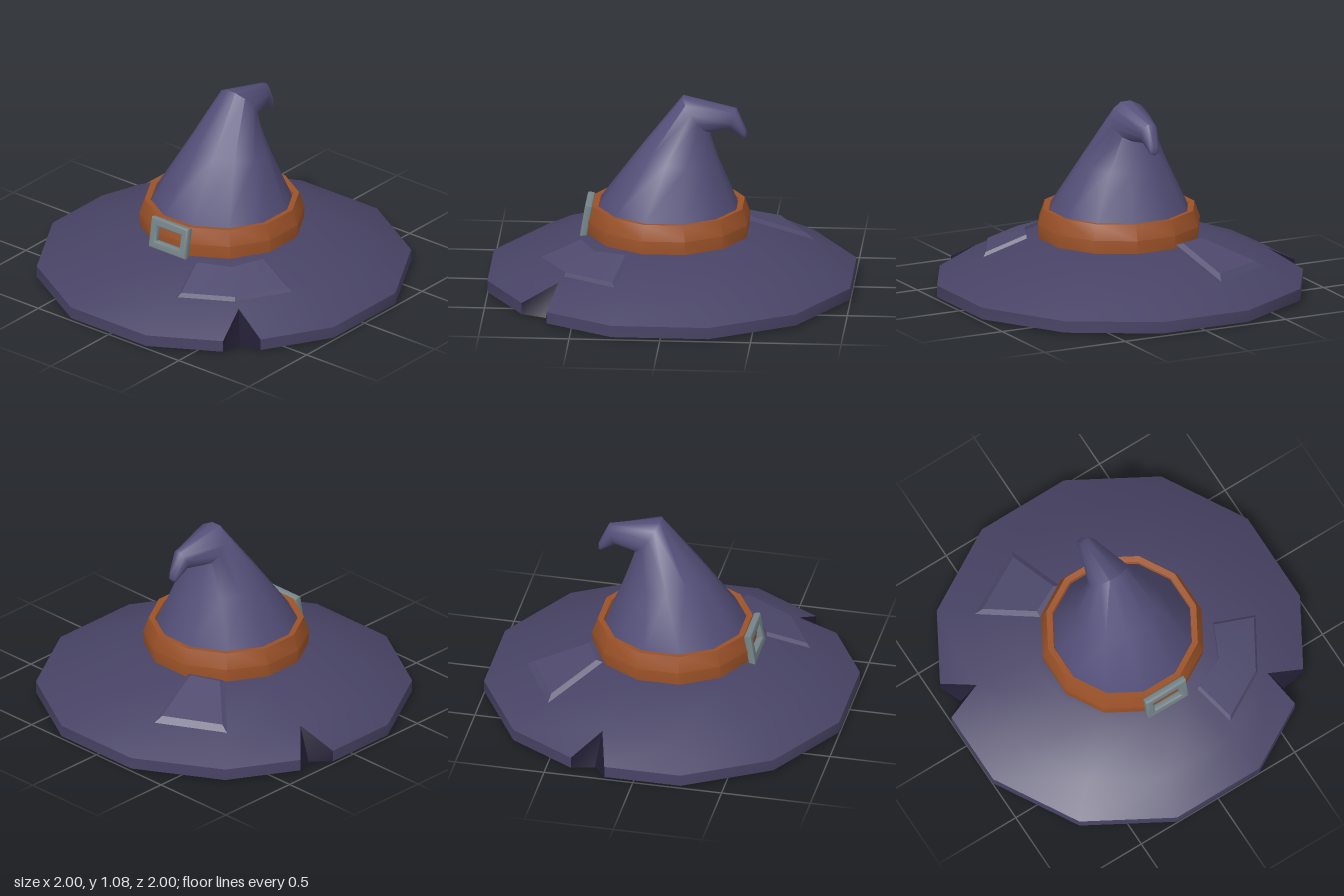
import * as THREE from 'three';
import { toCreasedNormals } from 'three/addons/utils/BufferGeometryUtils.js';

const SIDES = 12, STEP = Math.PI / 6, APO = Math.cos(STEP / 2);
const paint = color => new THREE.MeshStandardMaterial({ color });
const crownCloth = paint(0x55507a);
const brimCloth = paint(0x484365);
const patchCloth = paint(0x4e496c);
const darkCloth = paint(0x241f36);
const leather = paint(0x9c5228);
const metal = paint(0x76858a);

const angle = k => (k + 0.5) * STEP;

// Collects quads, corners counterclockwise from outside
function quadMesh(name, material, crease, fill) {
  const pos = [];
  fill((a, b, c, d) => {
    for (const p of [a, b, c, a, c, d]) pos.push(p.x, p.y, p.z);
  });
  const g = new THREE.BufferGeometry();
  g.setAttribute('position', new THREE.Float32BufferAttribute(pos, 3));
  const mesh = new THREE.Mesh(toCreasedNormals(g, crease), material);
  mesh.name = name;
  return mesh;
}

// Tilted twelve-sided ring through a front point and a back point (z, y)
function tiltedRing([fz, fy, bz, by, halfWidth]) {
  return Array.from({ length: SIDES }, (_, k) => {
    const c = Math.cos(angle(k)) / APO, s = Math.sin(angle(k)) / APO;
    return new THREE.Vector3(halfWidth * c, (fy + by) / 2 + (fy - by) / 2 * s, (fz + bz) / 2 + (fz - bz) / 2 * s);
  });
}

// Crown from the drooping tip down into the band: front z, y, back z, y, half width
function makeCrown() {
  const loops = [
    [-0.405, 0.855, -0.405, 0.855, 0],
    [-0.414, 0.87, -0.39, 0.857, 0.024],
    [-0.41, 0.9, -0.365, 0.875, 0.032],
    [-0.355, 1.02, -0.315, 0.905, 0.05],
    [-0.06, 1.083, -0.2, 0.89, 0.115],
    [0.17, 0.78, -0.25, 0.72, 0.23],
    [0.395, 0.468, -0.35, 0.468, 0.373],
    [0.42, 0.3, -0.39, 0.3, 0.41]
  ].map(tiltedRing);
  return quadMesh('crown', crownCloth, 1.0, quad => {
    for (let j = 0; j + 1 < loops.length; j++)
      for (let k = 0; k < SIDES; k++) {
        const n = (k + 1) % SIDES;
        quad(loops[j][k], loops[j][n], loops[j + 1][n], loops[j + 1][k]);
      }
  });
}

// Brim: profile (radius, y) swept in sectors, with two rim corners torn out
function makeBrim() {
  const profile = [[0.36, 0.315], [0.497, 0.308], [0.83, 0.185], [1.035, 0.08],
    [1.035, 0.015], [0.92, 0], [0.84, 0.09], [0.65, 0.17], [0.4, 0.235], [0.2, 0.262], [0, 0.27]];
  const torn = [1, 6];
  const at = ([r, y], k) => new THREE.Vector3(r * Math.cos(angle(k)), y, r * Math.sin(angle(k)));
  // rim points beside a tear slide along the rim towards the neighbouring corner
  const point = (j, k, other) => {
    const p = at(profile[j], k);
    const onRim = j === 3 || j === 4;
    return onRim && torn.includes(k % SIDES) ? p.lerp(at(profile[j], other), 0.2) : p;
  };
  const sweep = (quad, from, to) => {
    for (let k = 0; k < SIDES; k++)
      for (let j = from; j < to; j++)
        quad(point(j, k, k + 1), point(j, k + 1, k), point(j + 1, k + 1, k), point(j + 1, k, k + 1));
  };
  const wall = (k, other) => [2, 3, 4, 5].map(j => point(j, k, other));
  return [
    quadMesh('brim', brimCloth, 0.6, quad => sweep(quad, 0, 4)),
    quadMesh('brimUnderside', darkCloth, 0.6, quad => sweep(quad, 4, profile.length - 1)),
    quadMesh('tornEdges', darkCloth, 0.6, quad => torn.forEach(k => {
      quad(...wall(k, k + 1));
      quad(...wall(k, k - 1).reverse());
    }))
  ];
}

// Height of the brim's sloping top over a point
function brimY(x, z) {
  let r = 0;
  for (let k = 0; k < SIDES; k++) r = Math.max(r, x * Math.cos(k * STEP) + z * Math.sin(k * STEP));
  return 0.308 - (r - 0.48) * 0.385;
}

// Patch: raised strip lying on the brim with a bevelled border
function makePatch(name, outer, inner, height, inset) {
  const all = [...outer, ...inner];
  const cx = all.reduce((s, p) => s + p[0], 0) / all.length;
  const cz = all.reduce((s, p) => s + p[1], 0) / all.length;
  const low = ([x, z]) => new THREE.Vector3(x, brimY(x, z), z);
  const high = ([x, z]) => {
    const u = cx + (x - cx) * inset, v = cz + (z - cz) * inset;
    return new THREE.Vector3(u, brimY(u, v) + height, v);
  };
  return quadMesh(name, patchCloth, 0.45, quad => {
    for (let i = 0; i + 1 < outer.length; i++)
      quad(high(outer[i]), high(outer[i + 1]), high(inner[i + 1]), high(inner[i]));
    const loop = [...outer, ...[...inner].reverse()];
    loop.forEach((p, i) => {
      const q = loop[(i + 1) % loop.length];
      quad(low(p), low(q), high(q), high(p));
    });
  });
}

function makeBand() {
  const profile = [[0.436, 0.295], [0.442, 0.385], [0.412, 0.472], [0.38, 0.468], [0.37, 0.43]]
    .map(([r, y]) => new THREE.Vector2(r / APO, y));
  const g = new THREE.LatheGeometry(profile, SIDES);
  g.deleteAttribute('normal');
  g.deleteAttribute('uv');
  const band = new THREE.Mesh(toCreasedNormals(g, 0.55), leather);
  band.name = 'hatBand';
  band.rotation.y = STEP / 2;
  band.position.z = 0.018;
  return band;
}

function makeBuckle() {
  const rect = (path, w, h) => path.moveTo(-w, -h).lineTo(w, -h).lineTo(w, h).lineTo(-w, h).closePath();
  const frame = rect(new THREE.Shape(), 0.118, 0.076);
  frame.holes.push(rect(new THREE.Path(), 0.096, 0.054));
  const g = new THREE.ExtrudeGeometry(frame, {
    depth: 0.026, bevelEnabled: true, bevelSize: 0.012, bevelThickness: 0.008, bevelSegments: 3
  });
  const buckle = new THREE.Mesh(toCreasedNormals(g, 0.9), metal);
  buckle.name = 'buckle';
  buckle.position.set(0, 0.386, 0.453);
  buckle.rotation.x = -0.17;
  return buckle;
}

export function createModel() {
  const hat = new THREE.Group();
  hat.name = 'pointedHat';
  hat.add(makeCrown(), ...makeBrim(), makeBand(), makeBuckle());
  hat.add(makePatch('frontPatch',
    [[0.26, 0.72], [0.54, 0.56], [0.71, 0.27]],
    [[0.19, 0.49], [0.38, 0.40], [0.47, 0.21]], 0.02, 0.93));
  hat.add(makePatch('backPatch',
    [[-0.22, -0.77], [-0.59, -0.57]],
    [[-0.13, -0.41], [-0.32, -0.32]], 0.022, 0.82));
  return hat;
}
